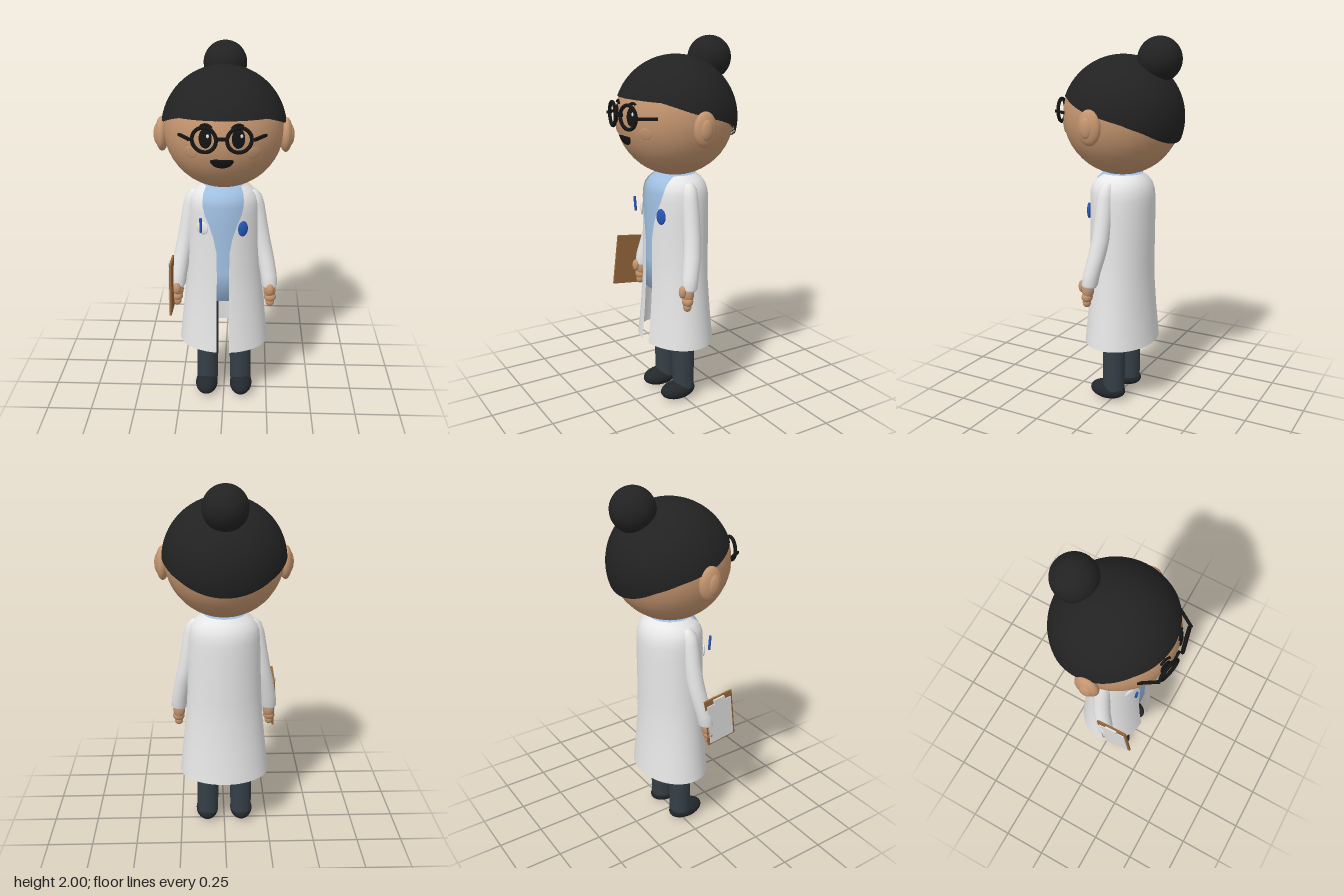
import * as THREE from 'three';

const mat = (name, color, side = THREE.FrontSide) => {
  const m = new THREE.MeshStandardMaterial({ color, side });
  m.name = name;
  return m;
};

// Tube of horizontal elliptical rings, rows ascending: [y, cx, cz, rx, rz, half width of front gap]
function loft(rows, n = 48) {
  const pos = [], idx = [], open = rows[0].length > 5;
  const cols = open ? n + 1 : n;
  for (const [y, cx, cz, rx, rz, gap = 0] of rows) {
    const start = Math.asin(gap / rx);
    for (let j = 0; j < cols; j++) {
      const a = start + (j / n) * (2 * Math.PI - 2 * start);
      pos.push(cx + rx * Math.sin(a), y, cz + rz * Math.cos(a));
    }
  }
  for (let i = 0; i < rows.length - 1; i++) {
    for (let j = 0; j < n; j++) {
      const k = (j + 1) % cols;
      const a = i * cols + j, b = i * cols + k, c = a + cols, d = b + cols;
      idx.push(a, b, c, b, d, c);
    }
  }
  const g = new THREE.BufferGeometry();
  g.setAttribute('position', new THREE.Float32BufferAttribute(pos, 3));
  g.setIndex(idx);
  g.computeVertexNormals();
  return g;
}

// Hair cap: a sphere whose lower edge follows the hairline
const HAIRLINE = [[-1, 1.466], [-0.7, 1.535], [-0.4, 1.58], [0.25, 1.64], [0.7, 1.692], [1.01, 1.70]];
function hairCap(R, cy) {
  const rings = 32;
  const g = new THREE.SphereGeometry(1, 72, rings);
  const p = g.attributes.position, uv = g.attributes.uv, nor = g.attributes.normal;
  for (let i = 0; i < p.count; i++) {
    const phi = uv.getX(i) * 2 * Math.PI, v = 1 - uv.getY(i), c = Math.sin(phi);
    let k = 0;
    while (k < HAIRLINE.length - 2 && c > HAIRLINE[k + 1][0]) k++;
    const [c0, y0] = HAIRLINE[k], [c1, y1] = HAIRLINE[k + 1];
    const edge = y0 + (y1 - y0) * (c - c0) / (c1 - c0);
    const th = Math.min(1, v * rings / (rings - 1)) * Math.acos((edge - cy) / R);
    const r = v > 0.999 ? R - 0.03 : R; // last ring turns inward
    const d = [-Math.cos(phi) * Math.sin(th), Math.cos(th), c * Math.sin(th)];
    p.setXYZ(i, r * d[0], r * d[1], r * d[2]);
    nor.setXYZ(i, ...d);
  }
  return g;
}

export function createModel() {
  const root = new THREE.Group();
  root.name = 'scientist';
  const skin = mat('skin', 0xc4956f);
  const hair = mat('hair', 0x222222);
  const black = mat('black', 0x141414);
  const coatWhite = mat('coatWhite', 0xe9e9e9, THREE.DoubleSide);
  const shirtBlue = mat('shirtBlue', 0xa0c0e2);
  const trouserGrey = mat('trouserGrey', 0x353f47);
  const shoeGrey = mat('shoeGrey', 0x23282c);
  const blue = mat('badgeBlue', 0x2757b8);
  const wood = mat('boardBrown', 0x94663a);
  const paper = mat('paper', 0xdcdcdc);

  const add = (name, geo, material, p = [0, 0, 0], parent = root) => {
    const m = new THREE.Mesh(geo, material);
    m.name = name;
    m.position.set(...p);
    parent.add(m);
    return m;
  };
  const ball = (name, material, p, s, parent = root) => {
    const m = add(name, new THREE.SphereGeometry(1, 32, 24), material, p, parent);
    m.scale.set(...s);
    return m;
  };

  // Head, hair and bun
  const HC = new THREE.Vector3(0, 1.594, -0.01), HR = 0.312;
  ball('head', skin, HC.toArray(), [HR, HR, HR]);
  add('hair', hairCap(0.324, 1.585), hair, [0, 1.585, -0.015]);
  ball('bun', hair, [0, 1.885, -0.222], [0.115, 0.115, 0.115]);

  // Puts a facial detail flat on the head surface
  const onFace = (obj, x, y) => {
    const dy = y - HC.y;
    obj.position.set(x, y, HC.z + Math.sqrt(HR * HR - x * x - dy * dy));
    obj.lookAt(obj.position.clone().multiplyScalar(2).sub(HC));
    return obj;
  };

  for (const s of [1, -1]) {
    // Ears
    ball('ear', skin, [s * 0.32, 1.56, 0.01], [0.035, 0.09, 0.064]);
    ball('innerEar', skin, [s * 0.342, 1.56, 0.015], [0.021, 0.055, 0.036]);

    // Eyes, brows and cheeks
    onFace(ball('eye', black, [0, 0, 0], [0.033, 0.048, 0.008]), s * 0.08, 1.615);
    const glint = onFace(ball('eyeGlint', paper, [0, 0, 0], [0.008, 0.01, 0.004]), s * 0.08 + 0.013, 1.628);
    glint.translateZ(0.006);
    const brow = new THREE.Group();
    brow.name = 'eyebrow';
    root.add(onFace(brow, s * 0.08, 1.655));
    const arc = add('browArc', new THREE.TorusGeometry(0.038, 0.007, 8, 20, 1.7), black, [0, -0.012, 0], brow);
    arc.rotation.z = Math.PI / 2 - 0.85 + s * 0.15;
    onFace(ball('cheek', skin, [0, 0, 0], [0.035, 0.03, 0.004]), s * 0.155, 1.535);

    // Glasses
    const rim = add('glassesRim', new THREE.TorusGeometry(0.06, 0.0095, 12, 40), black, [s * 0.085, 1.614, 0.312]);
    rim.rotation.y = s * 0.22;
    const temple = add('glassesTemple', new THREE.BoxGeometry(0.013, 0.014, 0.107), black, [s * 0.184, 1.614, 0.26]);
    temple.rotation.y = -s * 0.57;
  }
  add('glassesBridge', new THREE.BoxGeometry(0.038, 0.016, 0.012), black, [0, 1.617, 0.312]);

  // Mouth: half ellipse with a flat top
  const mouthGeo = new THREE.SphereGeometry(1, 32, 24);
  const mp = mouthGeo.attributes.position;
  for (let i = 0; i < mp.count; i++) if (mp.getY(i) > 0) mp.setY(i, mp.getY(i) * 0.1);
  const mouth = add('mouth', mouthGeo, black);
  mouth.scale.set(0.058, 0.045, 0.009);
  onFace(mouth, 0, 1.505);

  // Open coat and the shirt beneath
  add('coat', loft([
    [0.35, 0, -0.011, 0.25, 0.194, 0.034],
    [0.52, 0, -0.011, 0.232, 0.178, 0.034],
    [0.70, 0, -0.011, 0.213, 0.167, 0.034],
    [0.82, 0, -0.012, 0.205, 0.167, 0.033],
    [0.95, 0, -0.013, 0.2, 0.169, 0.035],
    [1.03, 0, -0.013, 0.198, 0.17, 0.05],
    [1.10, 0, -0.013, 0.196, 0.171, 0.072],
    [1.16, 0, -0.013, 0.193, 0.171, 0.097],
    [1.20, 0, -0.012, 0.188, 0.168, 0.106],
    [1.235, 0, -0.011, 0.177, 0.158, 0.108],
    [1.265, 0, -0.01, 0.15, 0.14, 0.104],
    [1.29, 0, -0.009, 0.11, 0.112, 0.092],
  ], 72), coatWhite);
  add('shirt', loft([
    [0.66, 0, -0.011, 0.002, 0.002],
    [0.66, 0, -0.011, 0.205, 0.161],
    [0.82, 0, -0.012, 0.197, 0.161],
    [1.10, 0, -0.013, 0.188, 0.164],
    [1.20, 0, -0.012, 0.18, 0.161],
    [1.235, 0, -0.011, 0.169, 0.151],
    [1.265, 0, -0.01, 0.142, 0.133],
    [1.29, 0, -0.009, 0.104, 0.106],
    [1.292, 0, -0.009, 0.002, 0.002],
  ], 72), shirtBlue);

  for (const s of [1, -1]) {
    // Sleeves
    add('sleeve', loft([
      [0.705, s * 0.252, 0.055, 0.002, 0.002],
      [0.705, s * 0.252, 0.055, 0.034, 0.034],
      [0.72, s * 0.253, 0.054, 0.044, 0.043],
      [0.78, s * 0.247, 0.045, 0.045, 0.045],
      [0.88, s * 0.228, 0.022, 0.046, 0.047],
      [0.97, s * 0.207, 0.01, 0.047, 0.047],
      [1.08, s * 0.187, 0.004, 0.047, 0.046],
      [1.18, s * 0.168, 0.002, 0.049, 0.045],
      [1.23, s * 0.157, 0, 0.044, 0.04],
      [1.255, s * 0.15, -0.003, 0.024, 0.024],
      [1.26, s * 0.15, -0.003, 0.002, 0.002],
    ], 28), coatWhite);

    // Hands
    ball('palm', skin, [s * 0.255, 0.69, 0.064], [0.034, 0.052, 0.032]);
    ball('thumb', skin, [s * 0.256, 0.706, 0.098], [0.022, 0.034, 0.019]);
    ball('fingers', skin, [s * 0.258, 0.65, 0.068], [0.033, 0.03, 0.029]);
    ball('fingertips', skin, [s * 0.258, 0.62, 0.07], [0.024, 0.027, 0.022]);

    // Legs and shoes
    add('leg', loft([
      [0.07, s * 0.097, -0.006, 0.06, 0.06],
      [0.35, s * 0.094, -0.006, 0.063, 0.064],
      [0.655, s * 0.094, -0.006, 0.063, 0.064],
    ], 32), trouserGrey);
    ball('shoe', shoeGrey, [s * 0.1, 0.056, 0.03], [0.064, 0.052, 0.105]);
  }

  // Badge, breast pocket and pen
  const badge = ball('badge', blue, [0.105, 1.085, 0.138], [0.028, 0.043, 0.012]);
  badge.rotation.y = 0.45;
  const pocket = ball('pocket', coatWhite, [-0.11, 1.085, 0.133], [0.036, 0.036, 0.008]);
  pocket.rotation.y = -0.5;
  const pen = add('pen', new THREE.CylinderGeometry(0.007, 0.007, 0.08, 12), blue, [-0.115, 1.115, 0.172]);
  pen.rotation.x = 0.08;

  // Clipboard in the right hand, paper facing outward
  const clipboard = new THREE.Group();
  clipboard.name = 'clipboard';
  clipboard.position.set(-0.279, 0.742, 0.127);
  clipboard.rotation.x = -0.12;
  root.add(clipboard);
  add('board', new THREE.BoxGeometry(0.011, 0.285, 0.18), wood, [0, 0, 0], clipboard);
  add('sheet', new THREE.BoxGeometry(0.005, 0.24, 0.156), paper, [-0.008, -0.012, 0], clipboard);
  add('clip', new THREE.BoxGeometry(0.012, 0.024, 0.07), paper, [-0.01, 0.124, 0], clipboard);

  return root;
}
